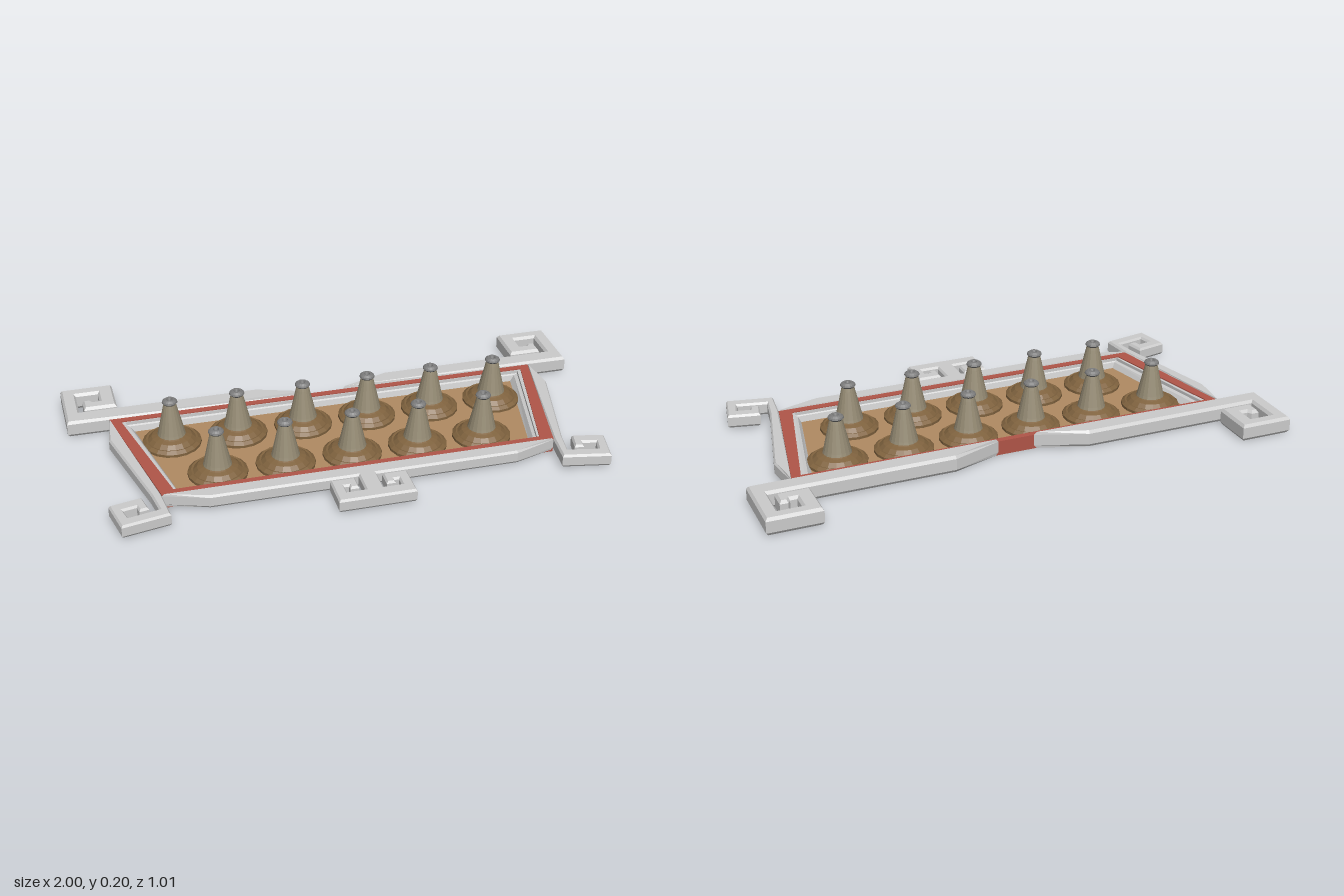
import * as THREE from 'three';

const paint = (color, extra = {}) => new THREE.MeshStandardMaterial({ color, flatShading: true, ...extra });
const grey = paint(0xcccccc);
const red = paint(0xb05548);
const tan = paint(0xb08a62);
const darkWood = paint(0x55412f);
const brass = paint(0x80633f);
const stone = paint(0x958b74);
const capGrey = paint(0x7c7c7c);
const liner = paint(0xcccccc, { side: THREE.DoubleSide });

const toVectors = (pts) => pts.map(([x, z]) => new THREE.Vector2(x, z));
const flipX = (pts) => pts.map(([x, z]) => [-x, z]);

// Plan outline (x, z) raised into a slab between two heights, with chamfered edges
function slab(name, pts, y0, y1, material, { bevel = 0, hole = null } = {}) {
  const shape = new THREE.Shape(toVectors(pts));
  if (hole) shape.holes.push(new THREE.Path(toVectors(hole)));
  const rise = bevel * 1.4;
  const geo = new THREE.ExtrudeGeometry(shape, {
    depth: y1 - y0 - 2 * rise,
    bevelEnabled: bevel > 0,
    bevelSize: bevel,
    bevelThickness: rise,
    bevelOffset: -bevel,
    bevelSegments: 1,
  });
  geo.rotateX(Math.PI / 2);
  geo.translate(0, y1 - rise, 0);
  const mesh = new THREE.Mesh(geo, material);
  mesh.name = name;
  return mesh;
}

// Symmetric trapezoid: half width and z at the back, then at the front
const trapezoid = (xb, zb, xf, zf) => [[-xb, zb], [xb, zb], [xf, zf], [-xf, zf]];

// Stepped wall joining four-cornered loops at given heights
function steppedWall(name, loops) {
  const pos = [];
  for (let i = 0; i + 1 < loops.length; i++) {
    const [a, ya] = loops[i];
    const [b, yb] = loops[i + 1];
    for (let k = 0; k < 4; k++) {
      const n = (k + 1) % 4;
      const p = [a[k][0], ya, a[k][1]], q = [a[n][0], ya, a[n][1]];
      const r = [b[n][0], yb, b[n][1]], s = [b[k][0], yb, b[k][1]];
      pos.push(...p, ...s, ...r, ...p, ...r, ...q);
    }
  }
  const geo = new THREE.BufferGeometry();
  geo.setAttribute('position', new THREE.Float32BufferAttribute(pos, 3));
  geo.computeVertexNormals();
  const mesh = new THREE.Mesh(geo, liner);
  mesh.name = name;
  return mesh;
}

function lathe(name, pts, material) {
  const mesh = new THREE.Mesh(new THREE.LatheGeometry(toVectors(pts), 18), material);
  mesh.name = name;
  return mesh;
}

// Flared base, tapered body and dimpled cap
function createStud(x, z) {
  const stud = new THREE.Group();
  stud.name = 'stud';
  stud.add(
    lathe('studBase', [[0.11, 0.013], [0.11, 0.024], [0.097, 0.034], [0.09, 0.032], [0.075, 0.046], [0.058, 0.052], [0.05, 0.056]], brass),
    lathe('studBody', [[0.054, 0.05], [0.05, 0.065], [0.026, 0.17], [0.023, 0.182]], stone),
    lathe('studCap', [[0.022, 0.18], [0.029, 0.188], [0.027, 0.194], [0.019, 0.2], [0.011, 0.2], [0.007, 0.19], [0, 0.19]], capGrey),
  );
  stud.position.set(x, 0, z);
  return stud;
}

export function createModel() {
  const model = new THREE.Group();
  model.name = 'studdedTray';

  // Tray: underside, floor, red rim and stepped inner wall
  const rimOuter = trapezoid(0.84, -0.257, 0.73, 0.3);
  const rimInner = trapezoid(0.8, -0.232, 0.685, 0.272);
  const ledgeOuter = trapezoid(0.785, -0.228, 0.677, 0.27);
  const ledgeInner = trapezoid(0.77, -0.222, 0.667, 0.266);
  const floorEdge = trapezoid(0.752, -0.216, 0.655, 0.26);
  model.add(
    slab('underside', trapezoid(0.835, -0.254, 0.726, 0.297), 0, 0.006, darkWood),
    slab('floor', rimInner, 0.006, 0.014, tan),
    slab('rim', rimOuter, 0.001, 0.056, red, { hole: rimInner }),
    steppedWall('innerWall', [[rimInner, 0.052], [ledgeOuter, 0.052], [ledgeOuter, 0.04], [ledgeInner, 0.036], [floorEdge, 0.013]]),
  );

  // Back rail ending in a square hook
  const backRail = [
    [0.07, -0.257], [0.26, -0.328], [0.945, -0.328], [0.945, -0.46], [0.86, -0.46], [0.86, -0.395],
    [0.885, -0.395], [0.895, -0.41], [0.925, -0.41], [0.925, -0.346], [0.8, -0.346], [0.8, -0.508],
    [1, -0.508], [1, -0.257],
  ];
  // Side rail running forward into a smaller hook
  const sideRail = [
    [0.84, -0.257], [0.862, -0.11], [0.767, 0.29], [0.752, 0.385], [0.862, 0.408], [0.874, 0.36],
    [0.825, 0.35], [0.82, 0.378], [0.785, 0.371], [0.8, 0.298], [0.92, 0.323], [0.893, 0.46],
    [0.717, 0.425], [0.73, 0.3],
  ];
  for (const [side, fit] of [['left', (p) => p], ['right', flipX]]) {
    model.add(
      slab(side + 'BackRail', fit(backRail), 0.002, 0.067, grey, { bevel: 0.008 }),
      slab(side + 'SideRail', fit(sideRail), 0.009, 0.06, grey, { bevel: 0.006 }),
    );
  }

  // Front rail with a double hook at its middle
  const halfFront = [
    [0.73, 0.3], [0.57, 0.355], [0.033, 0.355], [0.033, 0.448], [0.1, 0.448], [0.1, 0.41],
    [0.083, 0.41], [0.083, 0.428], [0.05, 0.428], [0.05, 0.367], [0.142, 0.367], [0.142, 0.5],
  ];
  model.add(slab('frontRail', [...halfFront, ...flipX(halfFront).reverse()], 0.009, 0.06, grey, { bevel: 0.006 }));

  // Two staggered rows of studs
  for (const [count, z] of [[6, -0.105], [5, 0.145]]) {
    for (let i = 0; i < count; i++) model.add(createStud((i - (count - 1) / 2) * 0.2515, z));
  }
  return model;
}
